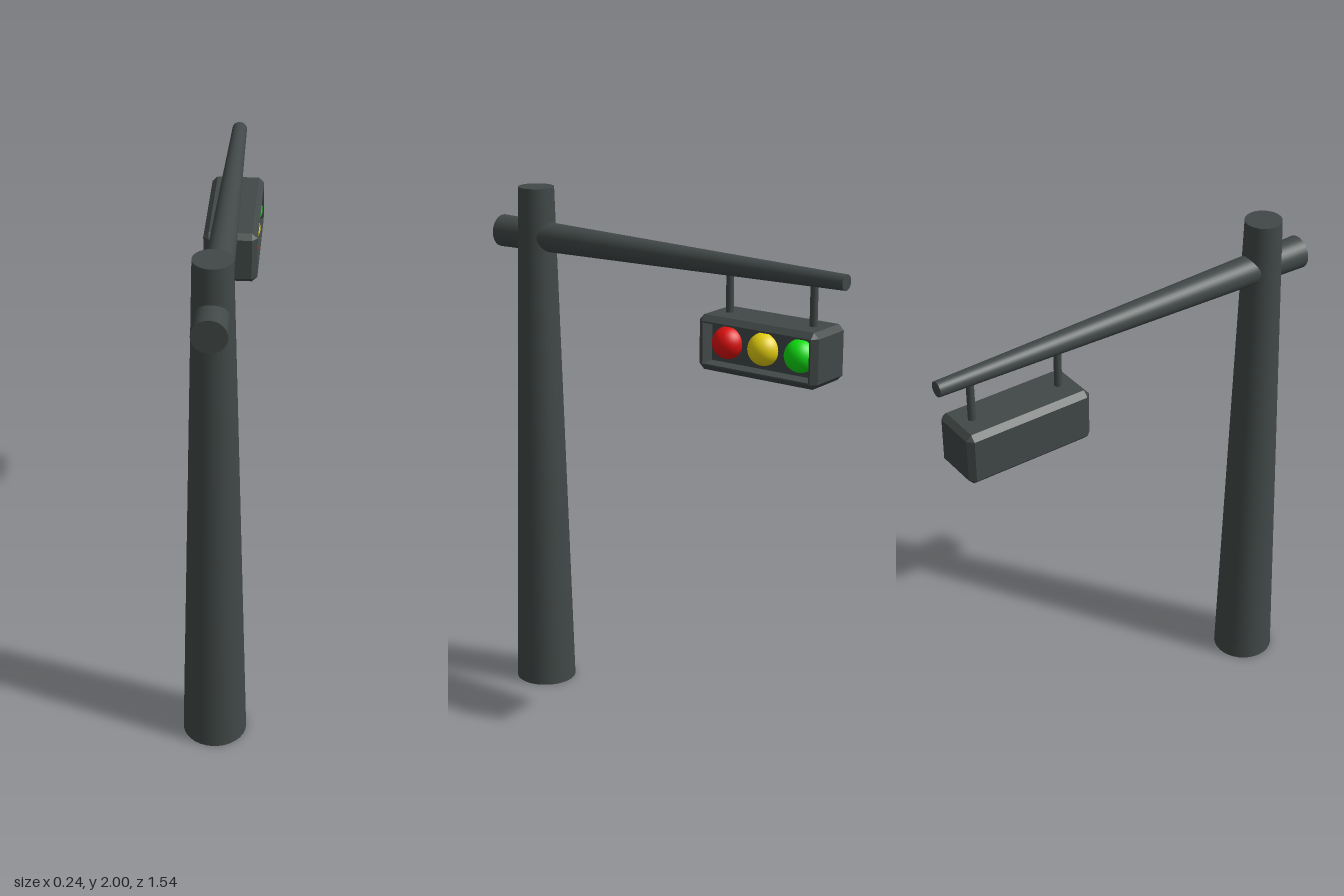
import * as THREE from 'three';

// Chamfered housing: rings of eight corners stepped along x, ending in a recess open to +x
function housingGeometry(halfH, halfL) {
  // [x, inset, corner cut]
  const steps = [
    [-0.1, 0.02, 0], [-0.08, 0, 0.02], [0.08, 0, 0.02],
    [0.1, 0.02, 0], [0.1, 0.026, 0], [0.04, 0.026, 0],
  ];
  const rings = steps.map(([x, inset, cut]) => {
    const h = halfH - inset, l = halfL - inset;
    return [
      [h, -l + cut], [h, l - cut], [h - cut, l], [-h + cut, l],
      [-h, l - cut], [-h, -l + cut], [-h + cut, -l], [h - cut, -l],
    ].map(([y, z]) => new THREE.Vector3(x, y, z));
  });
  const pos = [];
  const tri = (a, b, c) => {
    const area = b.clone().sub(a).cross(c.clone().sub(a)).length();
    if (area > 1e-9) for (const p of [a, b, c]) pos.push(p.x, p.y, p.z);
  };
  for (let r = 0; r < rings.length - 1; r++) {
    const a = rings[r], b = rings[r + 1];
    for (let i = 0; i < 8; i++) {
      const j = (i + 1) % 8;
      tri(a[i], a[j], b[j]);
      tri(a[i], b[j], b[i]);
    }
  }
  // Back panel and recess floor
  const back = rings[0], floor = rings[rings.length - 1];
  for (let i = 1; i < 7; i++) {
    tri(back[0], back[i + 1], back[i]);
    tri(floor[0], floor[i], floor[i + 1]);
  }
  const geo = new THREE.BufferGeometry();
  geo.setAttribute('position', new THREE.Float32BufferAttribute(pos, 3));
  geo.computeVertexNormals();
  return geo;
}

export function createModel() {
  const group = new THREE.Group();
  const material = (name, color) => {
    const m = new THREE.MeshStandardMaterial({ color });
    m.name = name;
    return m;
  };
  const metal = material('darkMetal', 0x414847);
  const add = (name, geo, mat, x, y, z) => {
    const mesh = new THREE.Mesh(geo, mat);
    mesh.name = name;
    mesh.position.set(x, y, z);
    group.add(mesh);
    return mesh;
  };

  // Tapered upright and the tapered arm that passes through it
  add('pole', new THREE.CylinderGeometry(0.068, 0.118, 2, 32), metal, 0, 1, 0.6);
  add('arm', new THREE.CylinderGeometry(0.061, 0.028, 1.54, 32).rotateX(Math.PI / 2), metal, 0, 1.814, 0);

  // Signal box hung from two rods
  const boxY = 1.545, boxZ = -0.468;
  add('signalHousing', housingGeometry(0.1, 0.248), metal, 0, boxY, boxZ);
  for (const [name, side] of [['innerHanger', 1], ['outerHanger', -1]]) {
    add(name, new THREE.CylinderGeometry(0.014, 0.014, 0.18, 16), metal, 0, 1.72, boxZ + side * 0.175);
  }

  // Lamps sit half sunk in the recess floor
  const lamps = [['red', 0xe01010, 1], ['yellow', 0xe6d010, 0], ['green', 0x10e010, -1]];
  for (const [name, color, side] of lamps) {
    add(name + 'Lamp', new THREE.SphereGeometry(0.059, 32, 20), material(name, color), 0.04, boxY, boxZ + side * 0.152);
  }
  return group;
}
